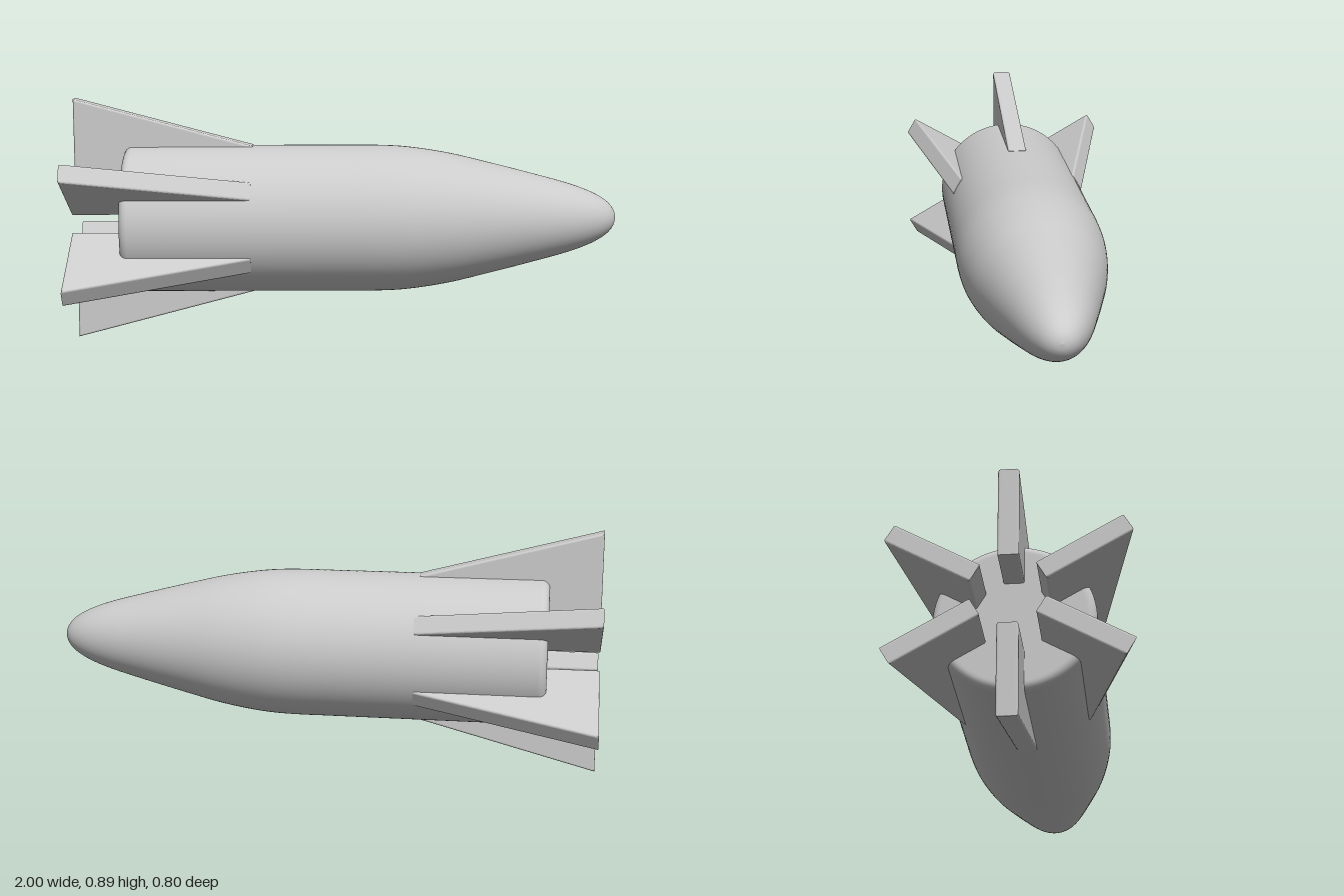
import * as THREE from 'three';

const AXIS_Y = 0.445; // height of the hull's centre line

export function createModel() {
  const model = new THREE.Group();
  model.name = 'rocket';
  const grey = new THREE.MeshStandardMaterial({ color: 0xcccccc });

  // Hull profile as (radius, station), tail to nose
  const profile = [new THREE.Vector2(0, -0.815), new THREE.Vector2(0.235, -0.815)];
  // rounded tail edge
  for (let i = 0; i <= 8; i++) {
    const a = (i / 8) * Math.PI / 2;
    profile.push(new THREE.Vector2(0.241 + 0.03 * Math.sin(a), -0.785 - 0.03 * Math.cos(a)));
  }
  profile.push(new THREE.Vector2(0.271, -0.4));
  // curved nose
  const nose = new THREE.SplineCurve([
    [0.271, 0], [0.271, 0.1], [0.267, 0.2], [0.255, 0.3], [0.237, 0.4], [0.213, 0.5],
    [0.188, 0.6], [0.162, 0.7], [0.135, 0.8], [0.112, 0.87], [0.088, 0.925],
    [0.06, 0.968], [0.03, 0.992], [0, 1],
  ].map(([r, x]) => new THREE.Vector2(r, x)));
  profile.push(...nose.getPoints(65));
  profile[profile.length - 1].x = 0;

  const hull = new THREE.Mesh(new THREE.LatheGeometry(profile, 96), grey);
  hull.name = 'hull';
  hull.rotation.z = -Math.PI / 2;
  hull.position.y = AXIS_Y;
  model.add(hull);

  // Swept fin outline in (station, radius), extruded with softened edges
  const outline = new THREE.Shape([
    [-1, 0.122], [-0.345, 0.122], [-0.345, 0.272], [-1, 0.445],
  ].map(([x, r]) => new THREE.Vector2(x, r)));
  const bevel = 0.008, width = 0.07;
  const finGeometry = new THREE.ExtrudeGeometry(outline, {
    depth: width - 2 * bevel,
    bevelThickness: bevel, bevelSize: bevel, bevelOffset: -bevel, bevelSegments: 4,
  });
  finGeometry.translate(0, 0, bevel - width / 2);

  // Six fins around the tail
  const fins = new THREE.Group();
  fins.name = 'fins';
  fins.position.y = AXIS_Y;
  for (let i = 0; i < 6; i++) {
    const fin = new THREE.Mesh(finGeometry, grey);
    fin.name = `fin${i + 1}`;
    fin.rotation.x = i * Math.PI / 3;
    fins.add(fin);
  }
  model.add(fins);
  return model;
}
